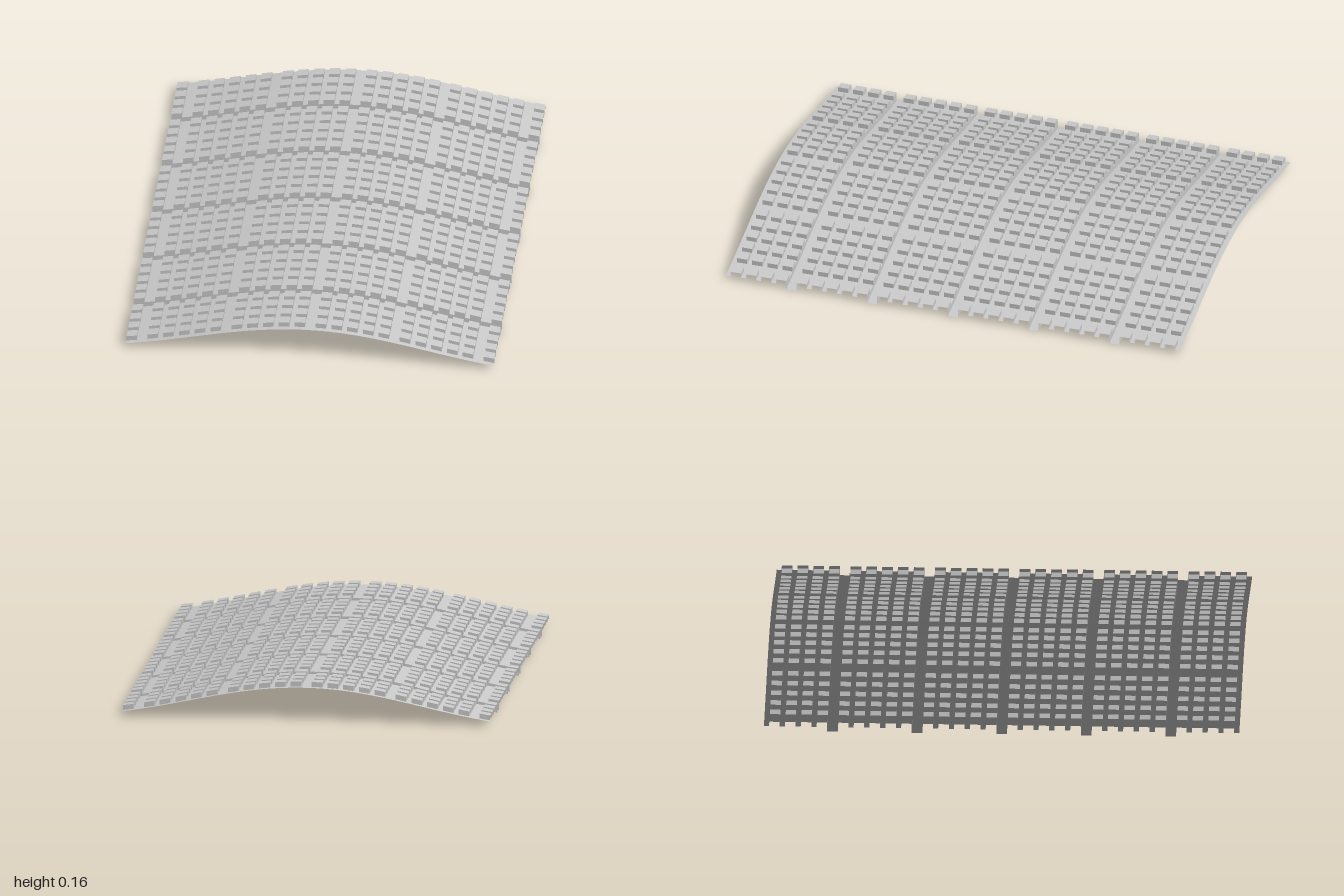
import * as THREE from 'three';

const WIDE = 0.0447;   // width of a stud, a rib and the plain strips
const NARROW = 0.0219; // gap between neighbouring studs
const STEP = 0.021;    // height of studs above, and depth of ribs below, the sheet

// Height of the arched sheet
const arch = (x) => 0.144 - 0.0695 * (1 - Math.cos(Math.PI * x));

// Turn a pattern (s = stud, g = narrow gap, r = wide strip) into centred bands
function bands(pattern) {
  const widths = [...pattern].map((type) => (type === 'g' ? NARROW : WIDE));
  let at = -widths.reduce((sum, w) => sum + w, 0) / 2;
  return widths.map((w, i) => ({ type: pattern[i], from: at, to: (at += w) }));
}

function makeMesh(name, positions) {
  const geometry = new THREE.BufferGeometry();
  geometry.setAttribute('position', new THREE.Float32BufferAttribute(positions, 3));
  geometry.computeVertexNormals();
  const material = new THREE.MeshStandardMaterial({
    color: 0xcccccc, flatShading: true, side: THREE.DoubleSide,
  });
  const mesh = new THREE.Mesh(geometry, material);
  mesh.name = name;
  return mesh;
}

export function createModel() {
  const five = 'sgsgsgsgs';
  const middle = ['', five, five, five, five, ''].join('r');
  const columns = bands('s' + middle + 's');
  const rows = bands('gsgsgsgs' + middle + 'sgsgsgsg');
  const parts = { sheet: [], studs: [], ribs: [] };

  // Level of a cell: rib channels are -1, the sheet 0, studs +1
  const level = (col, row) => {
    if (row.type === 'r') return -1;
    return col.type === 's' && row.type === 's' ? 1 : 0;
  };
  const partFor = (a, b = a) => {
    if (Math.min(a, b) < 0) return parts.ribs;
    return Math.max(a, b) > 0 ? parts.studs : parts.sheet;
  };
  // Corners are [x, z, level], counter-clockwise
  const quad = (target, ...corners) => {
    const p = corners.map(([x, z, l]) => [x, arch(x) + l * STEP, z]);
    for (const i of [0, 1, 2, 0, 2, 3]) target.push(...p[i]);
  };

  columns.forEach((col, i) => rows.forEach((row, j) => {
    const { from: x0, to: x1 } = col;
    const { from: z0, to: z1 } = row;
    const a = level(col, row);

    // Face of the cell
    quad(partFor(a), [x0, z1, a], [x1, z1, a], [x1, z0, a], [x0, z0, a]);

    // Upright wall to the next column
    if (columns[i + 1]) {
      const b = level(columns[i + 1], row);
      if (a !== b) quad(partFor(a, b), [x1, z1, b], [x1, z0, b], [x1, z0, a], [x1, z1, a]);
    }
    // Upright wall to the next row
    if (rows[j + 1]) {
      const b = level(col, rows[j + 1]);
      if (a !== b) quad(partFor(a, b), [x0, z1, b], [x1, z1, b], [x1, z1, a], [x0, z1, a]);
    }
  }));

  const group = new THREE.Group();
  group.name = 'embossedArchedPanel';
  for (const [name, positions] of Object.entries(parts)) group.add(makeMesh(name, positions));
  return group;
}
